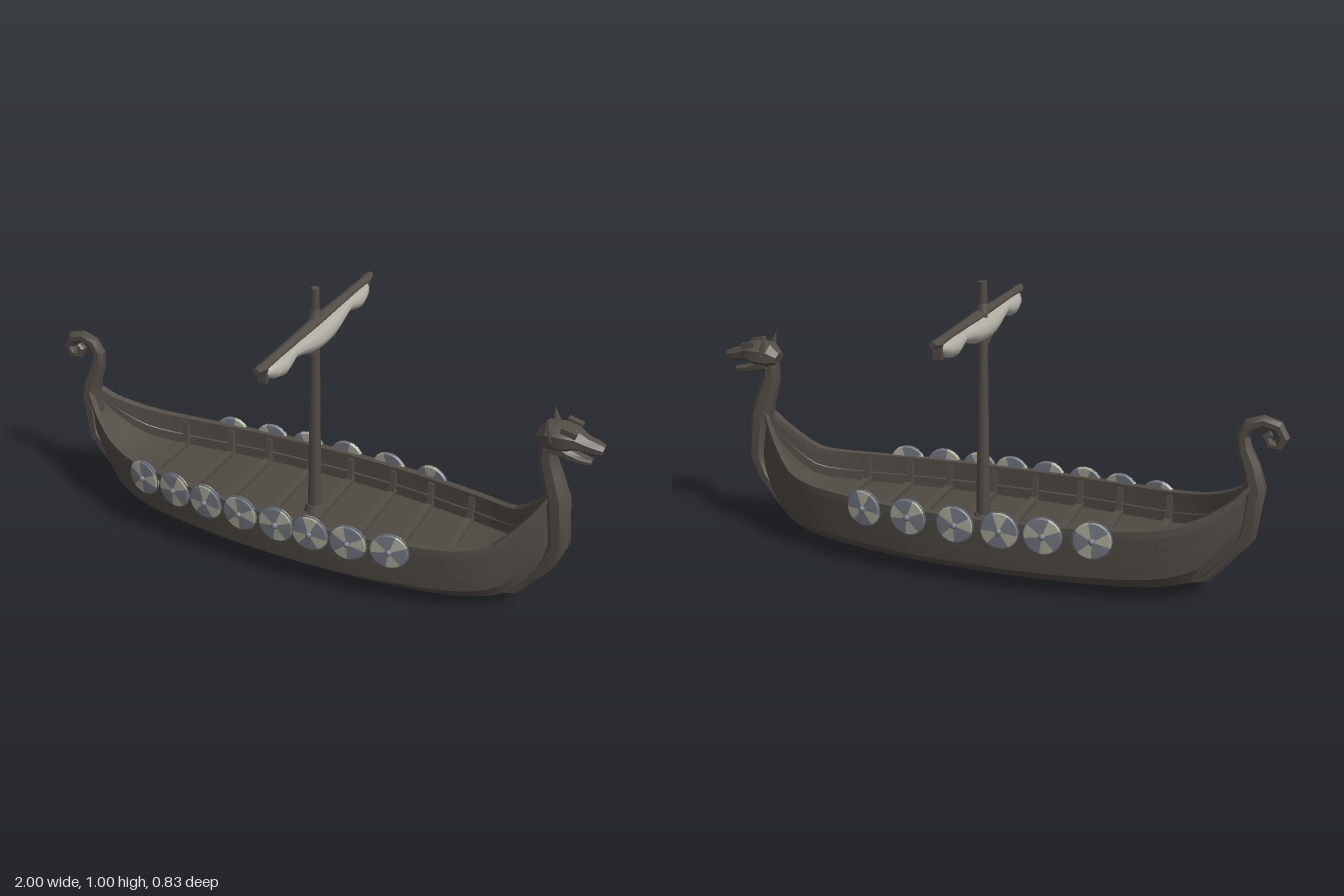
import * as THREE from 'three';
import { toCreasedNormals } from 'three/addons/utils/BufferGeometryUtils.js';

const V = (x, y, z = 0) => new THREE.Vector3(x, y, z);
const mat = (name, color, side = THREE.FrontSide) => {
  const m = new THREE.MeshStandardMaterial({ color, side });
  m.name = name;
  return m;
};

// Skin a list of cross-sections; closed sections also get end caps
function skin(rows, closed, crease = 0.5) {
  const n = rows[0].length, idx = [], last = rows.length - 1;
  for (let i = 0; i < last; i++)
    for (let k = 0; k < (closed ? n : n - 1); k++) {
      const a = i * n + k, b = i * n + (k + 1) % n;
      idx.push(a, b, a + n, b, b + n, a + n);
    }
  if (closed)
    for (let k = 1; k < n - 1; k++) {
      idx.push(0, k + 1, k, last * n, last * n + k, last * n + k + 1);
    }
  const g = new THREE.BufferGeometry().setFromPoints(rows.flat());
  g.setIndex(idx);
  return toCreasedNormals(g, crease);
}

// Beam in the xy plane; each stop is [x, y, half thickness, half width]
function beam(stops, sides = 8) {
  const rows = stops.map(([x, y, h, w], i) => {
    const p = stops[Math.max(i - 1, 0)], q = stops[Math.min(i + 1, stops.length - 1)];
    const t = V(q[0] - p[0], q[1] - p[1]).normalize();
    return Array.from({ length: sides }, (_, k) => {
      const a = (k + 0.5) / sides * Math.PI * 2, f = 1 / Math.cos(Math.PI / sides);
      const c = Math.cos(a) * h * f, s = Math.sin(a) * w * f;
      return V(x - t.y * c, y + t.x * c, s);
    });
  });
  return skin(rows, true);
}

// Bundle running along z; each stop is [z, y, half width, half height]
function bundle(stops, x, sides = 8) {
  return skin(stops.map(([z, y, rx, ry]) => Array.from({ length: sides }, (_, k) => {
    const a = k / sides * Math.PI * 2;
    return V(x + Math.cos(a) * rx, y + Math.sin(a) * ry, z);
  })), true, 0.9);
}
const mirrorStops = half => [...half.slice(1).reverse().map(([z, ...r]) => [-z, ...r]), ...half];

// Hull lines from stern to bow: keel line, and sheer line with half beam as z
const curve = pts => new THREE.CatmullRomCurve3(pts.map(p => V(...p)), false, 'catmullrom', 0.4);
const keelLine = curve([[-.905, .41], [-.885, .25], [-.765, .07], [-.6, .022], [-.3, .012], [0, .01],
  [.3, .012], [.6, .022], [.765, .065], [.875, .23], [.88, .44]]);
const sheerLine = curve([[-.9, .42, .018], [-.84, .355, .062], [-.74, .298, .125], [-.6, .268, .177], [-.3, .257, .222],
  [0, .252, .236], [.3, .252, .223], [.58, .258, .175], [.71, .283, .12], [.8, .375, .06], [.85, .45, .018]]);

// Lapped plank section: [height fraction, beam fraction]
const planks = [[0, .05], [.1, .65], [.11, .69], [.28, .87], [.29, .9], [.5, .92], [.51, .95], [.74, .96], [.75, .99], [1, 1]];
function hullPoint(u, [h, b], side) {
  const k = keelLine.getPoint(u), s = sheerLine.getPoint(u);
  const end = Math.abs(2 * u - 1) ** 2.6;
  const p = k.lerp(V(s.x, s.y, 0), h);
  p.z = side * s.z * THREE.MathUtils.lerp(b, 0.08 + 0.92 * h, end * 0.9);
  return p;
}
function uAtX(x) {
  let lo = 0, hi = 1;
  for (let i = 0; i < 30; i++) {
    const mid = (lo + hi) / 2;
    if (sheerLine.getPoint(mid).x < x) lo = mid; else hi = mid;
  }
  return lo;
}

export function createModel() {
  const wood = mat('weathered wood', 0x524c46);
  const planking = mat('hull planking', 0x4f4943, THREE.DoubleSide);
  const cloth = mat('sail cloth', 0xb0aea4);
  const slate = mat('shield slate', 0x72767f);
  const pale = mat('shield pale', 0xa8a798);
  const iron = mat('shield iron', 0x62666d);

  const ship = new THREE.Group();
  ship.name = 'longship';
  const add = (name, geo, m, parent = ship) => {
    const mesh = new THREE.Mesh(geo, m);
    mesh.name = name;
    parent.add(mesh);
    return mesh;
  };
  const us = Array.from({ length: 31 }, (_, i) => i / 30);

  // Planked hull, deck and gunwales
  add('hull', skin(us.map(u => [
    ...[...planks].reverse().map(p => hullPoint(u, p, 1)),
    ...planks.map(p => hullPoint(u, p, -1))]), false, 0.35), planking);
  const deckRow = [.6, .945];
  add('deck', skin(us.map(u => [hullPoint(u, deckRow, -1), hullPoint(u, deckRow, 1)]), false), planking);
  for (const s of [1, -1]) {
    add('gunwale', skin(us.map(u => {
      const p = sheerLine.getPoint(u);
      return [[.012, -.013], [.012, .013], [-.014, .013], [-.014, -.013]]
        .map(([dy, dz]) => V(p.x, p.y + dy, s * p.z + dz));
    }), true, 0.3), wood);
  }

  // Keel with stem, neck and stern curl
  add('keel', beam([[-.62, .022, .014, .022], [0, .012, .012, .02], [.62, .022, .014, .022]]), wood);
  add('bowStem', beam([[.6, .021, .014, .022], [.765, .068, .022, .032], [.868, .215, .03, .04], [.894, .29, .034, .043],
    [.875, .45, .037, .042], [.847, .53, .034, .033], [.827, .59, .03, .025], [.83, .66, .03, .025]]), wood);
  add('sternCurl', beam([[-.6, .021, .014, .022], [-.765, .07, .022, .032], [-.888, .24, .032, .038], [-.904, .4, .034, .036],
    [-.885, .47, .03, .03], [-.86, .53, .025, .024], [-.852, .575, .022, .021], [-.872, .61, .022, .02], [-.915, .626, .02, .02],
    [-.96, .614, .02, .02], [-.98, .58, .018, .019], [-.965, .551, .017, .018], [-.937, .553, .015, .017], [-.926, .578, .014, .016],
    [-.94, .589, .01, .014]]), wood);

  // Carved beast head
  const head = new THREE.Group();
  head.name = 'beastHead';
  ship.add(head);
  add('skull', beam([[.795, .66, .022, .03], [.825, .67, .045, .048], [.875, .674, .044, .052], [.91, .677, .034, .045],
    [.94, .666, .024, .032], [.975, .661, .021, .03], [.997, .657, .015, .022]]), wood, head);
  add('lowerJaw', beam([[.84, .64, .03, .034], [.89, .622, .018, .03], [.93, .611, .013, .024], [.965, .608, .01, .018]]), wood, head);
  for (const s of [1, -1]) {
    const ear = add('ear', new THREE.ConeGeometry(.02, .075, 4), wood, head);
    ear.position.set(.833, .71, s * .04);
    ear.rotation.set(s * .1, 0, .25);
    const brow = add('brow', new THREE.BoxGeometry(.05, .018, .022), wood, head);
    brow.position.set(.893, .71, s * .036);
    brow.rotation.z = -.25;
    const fang = add('fang', new THREE.ConeGeometry(.007, .025, 4), wood, head);
    fang.position.set(.98, .637, s * .014);
    fang.rotation.x = Math.PI;
  }

  // Thwarts and short knees
  for (const x of [-.6, -.42, -.27, -.1, .06, .23, .38, .54]) {
    const u = uAtX(x), d = hullPoint(u, deckRow, 1), top = sheerLine.getPoint(u);
    add('thwart', new THREE.BoxGeometry(.026, .02, d.z * 2), wood).position.set(x, d.y + .008, 0);
    for (const s of [1, -1]) {
      const knee = add('knee', new THREE.BoxGeometry(.02, top.y - d.y, .018), wood);
      knee.position.set(x, (top.y + d.y) / 2, s * (top.z + d.z - .026) / 2);
      knee.rotation.x = s * .15;
    }
  }

  // Mast, yard and furled sail
  add('mast', new THREE.CylinderGeometry(.014, .024, .86, 10), wood).position.set(.021, .57, 0);
  add('mastStep', new THREE.CylinderGeometry(.03, .04, .03, 8), wood).position.set(.021, .165, 0);
  add('yard', bundle(mirrorStops([[0, .89, .02, .016], [.2, .888, .017, .015], [.36, .887, .016, .014], [.375, .887, .02, .015],
    [.415, .892, .012, .01]]), .03), wood);
  add('furledSail', bundle(mirrorStops([[0, .844, .047, .043], [.05, .845, .046, .041], [.1, .85, .042, .037], [.15, .859, .038, .029],
    [.2, .864, .032, .023], [.24, .857, .036, .031], [.28, .852, .039, .036], [.325, .857, .034, .029], [.355, .866, .024, .02],
    [.375, .87, .012, .012]]), .03, 10), cloth);
  for (const s of [1, -1])
    add('yardStrap', new THREE.BoxGeometry(.03, .05, .016), wood).position.set(.03, .862, s * .372);
  const brace = add('mastBrace', new THREE.BoxGeometry(.024, .024, .08), wood);
  brace.position.set(.025, .793, .035);
  brace.rotation.x = -.5;
  add('mastCollar', new THREE.CylinderGeometry(.017, .024, .03, 8), wood).position.set(.021, .912, 0);

  // Round shields hung along both sides
  const profile = [[0, -.01], [.062, -.01], [.067, 0], [.06, .007], [0, .012]].map(p => new THREE.Vector2(...p));
  const sectors = Array.from({ length: 6 }, (_, i) => {
    const wide = i % 2 === 0, start = Math.floor(i / 2) * 120 + (wide ? 0 : 72);
    const rad = THREE.MathUtils.degToRad;
    return toCreasedNormals(new THREE.LatheGeometry(profile, 4, rad(start), rad(wide ? 72 : 48)).rotateX(Math.PI / 2), 0.5);
  });
  const rim = new THREE.TorusGeometry(.064, .0035, 5, 20);
  const boss = new THREE.SphereGeometry(.012, 10, 8);
  const hang = (x, s, i) => {
    const u = uAtX(x), p = sheerLine.getPoint(u), t = sheerLine.getTangent(u);
    const shield = new THREE.Group();
    shield.name = 'shield';
    const face = new THREE.Group();
    face.name = 'shieldFace';
    face.rotation.z = i * 0.7;
    sectors.forEach((g, k) => add('shieldSector', g, k % 2 ? pale : slate, face));
    add('shieldRim', rim, iron, face);
    add('shieldBoss', boss, slate, face).position.z = .011;
    shield.add(face);
    shield.position.set(x, .236, s * (p.z + .013));
    shield.rotation.y = Math.atan2(-t.z / t.x, s);
    ship.add(shield);
  };
  [-.555, -.415, -.28, -.14, 0, .125, .26, .4].forEach((x, i) => hang(x, 1, i));
  [-.43, -.27, -.125, .03, .2, .37].forEach((x, i) => hang(x, -1, i));
  return ship;
}
